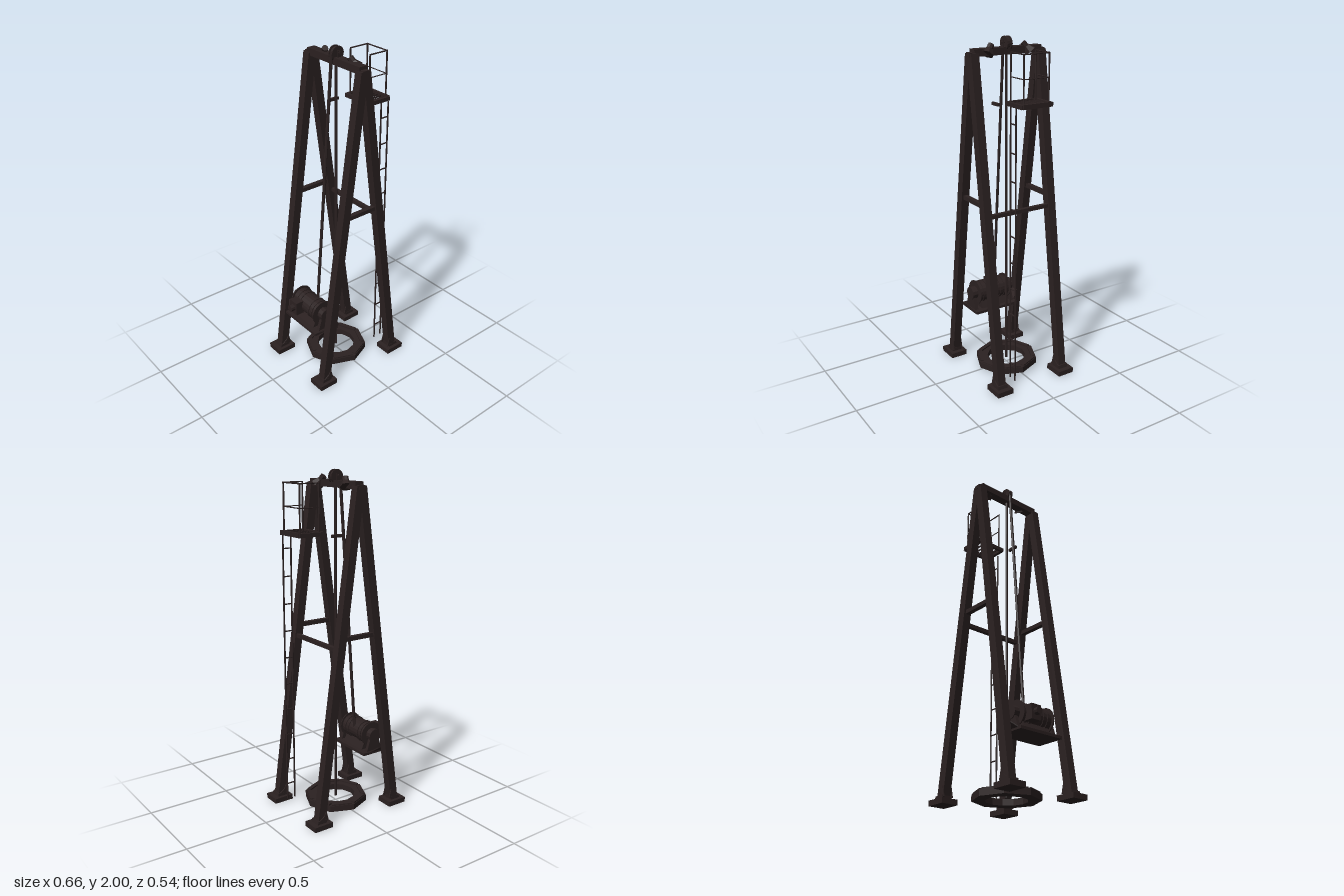
import * as THREE from 'three';

export function createModel() {
  const model = new THREE.Group();
  model.name = 'hoistTower';
  const steel = new THREE.MeshStandardMaterial({ color: 0x2b2121 });
  steel.name = 'dark steel';
  steel.flatShading = true;

  const add = (name, geometry, x = 0, y = 0, z = 0, parent = model) => {
    const mesh = new THREE.Mesh(geometry, steel);
    mesh.name = name;
    mesh.position.set(x, y, z);
    parent.add(mesh);
    return mesh;
  };
  // Box given by its limits on each axis
  const box = (name, x0, x1, y0, y1, z0, z1, parent) =>
    add(name, new THREE.BoxGeometry(x1 - x0, y1 - y0, z1 - z0),
      (x0 + x1) / 2, (y0 + y1) / 2, (z0 + z1) / 2, parent);
  // Round bar between two points
  const rod = (name, a, b, r, sides = 6, parent = model) => {
    const p = new THREE.Vector3(...a), q = new THREE.Vector3(...b);
    const mesh = add(name, new THREE.CylinderGeometry(r, r, p.distanceTo(q), sides), 0, 0, 0, parent);
    mesh.position.copy(p).add(q).multiplyScalar(0.5);
    mesh.quaternion.setFromUnitVectors(new THREE.Vector3(0, 1, 0), q.sub(p).normalize());
    return mesh;
  };
  // Flat outline in x and y, extruded along z around a centre
  const plate = (name, points, depth, z, parent) => {
    const shape = new THREE.Shape(points.map(p => new THREE.Vector2(...p)));
    const g = new THREE.ExtrudeGeometry(shape, { depth, bevelEnabled: false });
    return add(name, g, 0, 0, z - depth / 2, parent);
  };
  // Disc or drum lying along z
  const drum = (name, r, depth, x, y, z, sides = 16, parent = model) => {
    const g = new THREE.CylinderGeometry(r, r, depth, sides);
    g.rotateX(Math.PI / 2);
    return add(name, g, x, y, z, parent);
  };

  // Two A-frames: pads, sockets, legs and tie bars
  for (const sz of [-1, 1]) {
    const z = sz * 0.217;
    for (const sx of [-1, 1]) {
      box('footPad', sx * 0.271 - 0.061, sx * 0.271 + 0.061, 0, 0.03, z - 0.052, z + 0.052);
      plate('legSocket', [[sx * 0.302, 0.03], [sx * 0.238, 0.03], [sx * 0.238, 0.05], [sx * 0.298, 0.05]], 0.064, z);
      for (const s of [-1, 1]) {
        plate('footGusset', [[sx * 0.298, 0.04], [sx * 0.225, 0.04], [sx * 0.24, 0.1], [sx * 0.255, 0.07]], 0.006, z + s * 0.028);
      }
      plate('leg', [[sx * 0.294, 0.03], [sx * 0.242, 0.03], [sx * -0.018, 1.92], [sx * 0.032, 1.92]], 0.049, z);
    }
    box('tieBar', -0.118, 0.118, 1.08, 1.104, z - 0.014, z + 0.014);
    box('beamEnd', -0.02, 0.02, 1.9, 1.925, Math.min(sz * 0.2, sz * 0.243), Math.max(sz * 0.2, sz * 0.243));
  }
  box('rearTie', 0.123, 0.148, 1.022, 1.044, -0.217, 0.217);
  box('topBeam', -0.026, 0.026, 1.902, 1.942, -0.218, 0.218);

  // Sheave with grooved rim, axle and cheeks
  drum('sheaveCore', 0.033, 0.03, 0, 1.96, 0);
  for (const s of [-1, 1]) {
    drum('sheaveFlange', 0.04, 0.008, 0, 1.96, s * 0.012);
    box('sheaveCheek', -0.012, 0.012, 1.94, 1.978, s * 0.024 - 0.003, s * 0.024 + 0.003);
  }
  drum('sheaveAxle', 0.007, 0.07, 0, 1.966, 0, 8);

  // Ropes
  rod('hoistRope', [0, 0.03, 0], [0, 1.93, 0], 0.008);
  rod('winchRope', [-0.143, 0.44, 0], [-0.03, 1.97, 0], 0.009);

  // Floodlights on the beam, aimed down and inward
  for (const s of [-1, 1]) {
    const lamp = new THREE.Group();
    lamp.name = 'floodlight';
    add('lampShade', new THREE.CylinderGeometry(0.02, 0.037, 0.035, 6), 0, 0, 0, lamp);
    add('lampHousing', new THREE.CylinderGeometry(0.018, 0.018, 0.03, 8), 0, 0.03, 0, lamp);
    lamp.position.set(0.022, 1.925, s * 0.128);
    lamp.rotation.set(-s * 0.65, 0, 0.3);
    model.add(lamp);
  }

  // Winch deck and its slanted leg brackets
  const cx = -0.19, cy = 0.427;
  box('winchDeck', -0.28, -0.103, 0.317, 0.333, -0.148, 0.148);
  for (const s of [-1, 1]) {
    const g = new THREE.BoxGeometry(1, 0.006, 1);
    const p = g.attributes.position;
    for (let i = 0; i < p.count; i++) {
      const outer = s * p.getZ(i) > 0;
      p.setXYZ(i, -0.2 + Math.sign(p.getX(i)) * (outer ? 0.021 : 0.058),
        p.getY(i) + (outer ? 0.37 : 0.331), s * (outer ? 0.194 : 0.147));
    }
    g.computeVertexNormals();
    add('deckBracket', g);
    // Drum end parts
    drum('drumFlange', 0.075, 0.006, cx, cy, s * 0.105, 20);
    drum('drumHub', 0.04, 0.04, cx, cy, s * 0.123, 12);
    plate('drumStand', [[-0.245, 0.333], [-0.135, 0.333], [-0.165, cy], [-0.215, cy]], 0.02, s * 0.128);
    for (const z of [0.045, 0.075]) drum('drumBand', 0.067, 0.014, cx, cy, s * z, 20);
  }
  drum('winchDrum', 0.062, 0.21, cx, cy, 0, 20);
  plate('drumCradle', [[-0.25, 0.333], [-0.13, 0.333], [-0.155, 0.385], [-0.225, 0.385]], 0.18, 0);
  box('gearbox', -0.293, -0.24, 0.38, 0.465, -0.083, -0.017);
  const motor = add('motor', new THREE.CylinderGeometry(0.021, 0.021, 0.03, 10), -0.304, 0.425, -0.05);
  motor.rotation.z = Math.PI / 2;

  // Octagonal well collar with a twelve-sided opening
  const polygon = (Type, r, n) => new Type(Array.from({ length: n }, (_, i) =>
    new THREE.Vector2(r * Math.cos(i * 2 * Math.PI / n), r * Math.sin(i * 2 * Math.PI / n))));
  const collar = polygon(THREE.Shape, 0.189, 8);
  collar.holes.push(polygon(THREE.Path, 0.117, 12));
  const collarGeometry = new THREE.ExtrudeGeometry(collar, { depth: 0.036, bevelEnabled: false });
  collarGeometry.rotateX(-Math.PI / 2);
  add('wellCollar', collarGeometry, 0, 0.012, 0);
  for (let i = 0; i < 8; i++) {
    const a = (i + 0.5) * Math.PI / 4;
    const curb = add('collarCurb', new THREE.BoxGeometry(0.025, 0.012, 0.12), 0.158 * Math.cos(a), 0.05, 0.158 * Math.sin(a));
    curb.rotation.y = -a;
  }

  // Ladder
  for (const x of [0.224, 0.276]) rod('ladderRail', [x, 0.04, 0.118], [x, 1.66, 0.118], 0.005);
  for (let i = 0; i < 10; i++) {
    const y = 1.57 - i * 0.159;
    rod('ladderRung', [0.224, y, 0.118], [0.276, y, 0.118], 0.004);
  }

  // Service platform: frame, grating, toe edge and arms
  for (const s of [-1, 1]) {
    box('platformSide', 0.153, 0.303, 1.652, 1.675, s * 0.092 - 0.009, s * 0.092 + 0.009);
    box('platformArm', 0.045, 0.11, 1.642, 1.658, s * 0.118 - 0.008, s * 0.118 + 0.008);
  }
  box('platformInner', 0.147, 0.163, 1.652, 1.675, -0.1, 0.1);
  box('platformOuter', 0.29, 0.308, 1.652, 1.678, -0.092, 0.092);
  for (let i = 0; i < 6; i++) {
    const z = -0.0675 + i * 0.027;
    box('gratingBar', 0.16, 0.295, 1.66, 1.67, z - 0.0025, z + 0.0025);
  }

  // Guard rail on three sides, open toward the tower
  const corners = [[0.168, -0.08], [0.29, -0.08], [0.29, 0.08], [0.168, 0.08]];
  corners.forEach(([x, z], i) => {
    rod('railPost', [x, 1.67, z], [x, 1.937, z], 0.005);
    if (i === 3) return;
    const [x2, z2] = corners[i + 1];
    rod('topRail', [x, 1.934, z], [x2, 1.934, z2], 0.004);
    rod('midRail', [x, 1.806, z], [x2, 1.806, z2], 0.003);
  });

  // Mirrored outlines need their winding restored by the extruder; nothing else to adjust
  return model;
}
